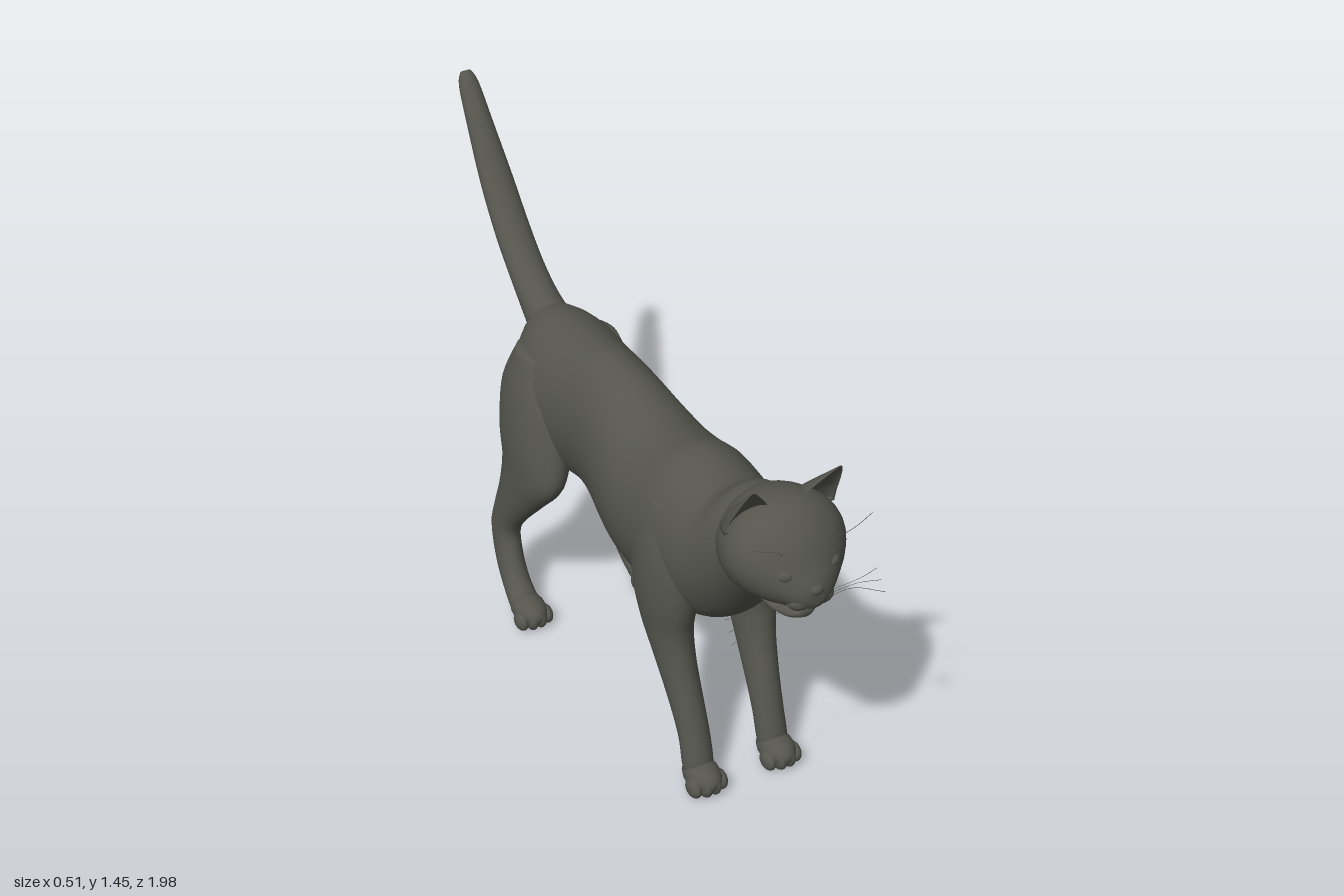
import * as THREE from 'three';

const fur = new THREE.MeshStandardMaterial({ color: 0x55554e });
fur.name = 'charcoal fur';

// Smooth loft through elliptical rings: [x, y, z, halfWidth, halfDepth, tiltDegrees].
// Tilt 0 faces forward, 90 faces down, -90 faces up. A dent below 1 hollows one side.
function loft(name, rows, { side = 1, seg = 28, steps = 4, dent = 1 } = {}) {
  const rings = [];
  for (let i = 0; i < rows.length - 1; i++) {
    const p = [rows[Math.max(i - 1, 0)], rows[i], rows[i + 1], rows[Math.min(i + 2, rows.length - 1)]];
    for (let k = 0; k < steps; k++) {
      const t = k / steps;
      rings.push(p[1].map((b, j) => {
        const a = p[0][j], c = p[2][j], d = p[3][j];
        return b + 0.5 * t * (c - a + t * (2 * a - 5 * b + 4 * c - d + t * (3 * (b - c) + d - a)));
      }));
    }
  }
  rings.push(rows[rows.length - 1]);
  const pos = [], index = [];
  for (const [x, y, z, rx, rv, tilt] of rings) {
    const t = THREE.MathUtils.degToRad(tilt);
    for (let i = 0; i < seg; i++) {
      const a = (i / seg) * Math.PI * 2;
      const v = rv * Math.sin(a) * (Math.sin(a) < 0 ? dent : 1);
      pos.push(side * x + rx * Math.cos(a), y + v * Math.cos(t), z + v * Math.sin(t));
    }
  }
  for (let r = 0; r < rings.length - 1; r++) {
    for (let i = 0; i < seg; i++) {
      const a = r * seg + i, b = r * seg + (i + 1) % seg;
      index.push(a, b, b + seg, a, b + seg, a + seg);
    }
  }
  // End caps
  const first = rings[0], last = rings[rings.length - 1];
  const c0 = pos.length / 3, c1 = c0 + 1, base = (rings.length - 1) * seg;
  pos.push(side * first[0], first[1], first[2], side * last[0], last[1], last[2]);
  for (let i = 0; i < seg; i++) {
    const j = (i + 1) % seg;
    index.push(c0, j, i, c1, base + i, base + j);
  }
  const g = new THREE.BufferGeometry();
  g.setAttribute('position', new THREE.Float32BufferAttribute(pos, 3));
  g.setIndex(index);
  g.computeVertexNormals();
  const mesh = new THREE.Mesh(g, fur);
  mesh.name = name;
  return mesh;
}

function ball(name, x, y, z, rx, ry, rz) {
  const mesh = new THREE.Mesh(new THREE.SphereGeometry(1, 18, 12), fur);
  mesh.name = name;
  mesh.position.set(x, y, z);
  mesh.scale.set(rx, ry, rz);
  return mesh;
}

// Forward-facing rings given as [z, top, bottom, halfWidth]
const profile = rows => rows.map(([z, top, bottom, w]) => [0, (top + bottom) / 2, z, w, (top - bottom) / 2, 0]);

// Paw with four toes; z is the front of the paw
function paw(name, x, z, length, side) {
  const g = new THREE.Group();
  g.name = name;
  g.add(ball('pad', side * x, 0.045, z - length / 2, 0.05, 0.043, length / 2));
  for (let i = 0; i < 4; i++) {
    const u = i - 1.5, outer = Math.abs(u) > 1;
    g.add(ball('toe', side * x + u * 0.027, outer ? 0.031 : 0.035, z - (outer ? 0.045 : 0.033), 0.019, outer ? 0.029 : 0.033, 0.033));
  }
  return g;
}

function whisker(points) {
  const curve = new THREE.CatmullRomCurve3(points.map(p => new THREE.Vector3(...p)));
  const mesh = new THREE.Mesh(new THREE.TubeGeometry(curve, 8, 0.0007, 4), fur);
  mesh.name = 'whisker';
  return mesh;
}

export function createModel() {
  const cat = new THREE.Group();
  cat.name = 'cat';

  // Torso and neck
  cat.add(loft('torso', profile([
    [-0.505, 0.86, 0.72, 0.04], [-0.48, 0.92, 0.63, 0.1], [-0.4, 0.945, 0.55, 0.15],
    [-0.3, 0.95, 0.51, 0.165], [-0.2, 0.955, 0.5, 0.155], [-0.1, 0.964, 0.51, 0.145],
    [0, 0.955, 0.49, 0.15], [0.1, 0.93, 0.462, 0.167], [0.2, 0.91, 0.446, 0.182],
    [0.3, 0.92, 0.44, 0.186], [0.39, 0.94, 0.447, 0.186], [0.5, 0.927, 0.475, 0.18],
    [0.57, 0.93, 0.505, 0.168], [0.63, 0.975, 0.555, 0.148], [0.69, 0.99, 0.625, 0.132],
    [0.75, 1, 0.695, 0.125], [0.82, 0.97, 0.76, 0.1],
  ]), { seg: 36 }));

  // Tail
  cat.add(loft('tail', [
    [0, 0.85, -0.4, 0.08, 0.07, -155], [0, 0.885, -0.5, 0.062, 0.062, -150],
    [0, 0.955, -0.6, 0.056, 0.046, -142], [0, 1.052, -0.7, 0.054, 0.04, -133],
    [0, 1.175, -0.8, 0.05, 0.036, -128], [0, 1.312, -0.9, 0.039, 0.033, -125],
    [0, 1.41, -0.968, 0.03, 0.025, -125], [0, 1.442, -0.988, 0.015, 0.013, -125],
  ]));

  // Head, muzzle and open lower jaw
  cat.add(loft('head', profile([
    [0.65, 0.96, 0.77, 0.08], [0.7, 1.01, 0.745, 0.135], [0.78, 1.035, 0.745, 0.165],
    [0.84, 1.028, 0.755, 0.16], [0.885, 0.998, 0.765, 0.134], [0.92, 0.955, 0.776, 0.1],
    [0.945, 0.905, 0.785, 0.07], [0.963, 0.872, 0.793, 0.042], [0.971, 0.852, 0.81, 0.018],
  ]), { seg: 36 }));
  cat.add(loft('lowerJaw', profile([
    [0.8, 0.8, 0.745, 0.085], [0.86, 0.775, 0.732, 0.068],
    [0.9, 0.765, 0.727, 0.045], [0.923, 0.76, 0.738, 0.02],
  ])));
  cat.add(ball('nose', 0, 0.85, 0.964, 0.021, 0.015, 0.013));

  for (const side of [1, -1]) {
    const tag = side > 0 ? 'left' : 'right';
    const opt = { side };

    // Ear, hollow at the front
    cat.add(loft(tag + 'Ear', [
      [0.1, 0.955, 0.785, 0.06, 0.07, -90], [0.1, 1.0, 0.8, 0.056, 0.058, -90],
      [0.108, 1.045, 0.822, 0.041, 0.036, -90], [0.119, 1.085, 0.842, 0.021, 0.016, -90],
      [0.125, 1.112, 0.856, 0.004, 0.003, -90],
    ], { side, dent: -0.45 }));

    // Eye, cheek and fang
    const eye = ball(tag + 'Eye', side * 0.07, 0.889, 0.921, 0.026, 0.019, 0.018);
    eye.rotation.set(0, side * 0.55, side * 0.15);
    cat.add(eye);
    cat.add(ball(tag + 'Muzzle', side * 0.03, 0.81, 0.938, 0.036, 0.025, 0.026));
    const fang = new THREE.Mesh(new THREE.ConeGeometry(0.005, 0.022, 8), fur);
    fang.name = tag + 'Fang';
    fang.rotation.x = Math.PI;
    fang.position.set(side * 0.026, 0.781, 0.925);
    cat.add(fang);

    // Whiskers beside the muzzle and above the eye
    for (let i = 0; i < 3; i++) {
      const y = 0.815 - i * 0.01;
      cat.add(whisker([[side * 0.04, y, 0.945], [side * 0.13, y + 0.01 - i * 0.01, 0.95 - i * 0.01], [side * 0.225, 0.795 - i * 0.025, 0.9 + i * 0.02]]));
    }
    cat.add(whisker([[side * 0.07, 0.94, 0.91], [side * 0.11, 0.99, 0.95], [side * 0.17, 1.01, 0.94]]));

    // Front leg
    cat.add(loft(tag + 'FrontLeg', [
      [0.11, 0.83, 0.42, 0.045, 0.08, 90], [0.122, 0.7, 0.43, 0.072, 0.14, 90],
      [0.13, 0.56, 0.44, 0.072, 0.125, 90], [0.13, 0.46, 0.45, 0.062, 0.098, 90],
      [0.125, 0.36, 0.486, 0.053, 0.075, 90], [0.12, 0.25, 0.538, 0.047, 0.056, 90],
      [0.117, 0.15, 0.583, 0.044, 0.043, 90], [0.118, 0.07, 0.607, 0.044, 0.04, 90],
      [0.118, 0.025, 0.61, 0.036, 0.034, 90],
    ], opt));
    cat.add(paw(tag + 'FrontPaw', 0.118, 0.702, 0.14, side));

    // Hind leg: thigh, hock and lower leg curving forward to the paw
    cat.add(loft(tag + 'HindLeg', [
      [0.1, 0.86, -0.36, 0.05, 0.08, 90], [0.112, 0.74, -0.345, 0.078, 0.15, 90],
      [0.128, 0.61, -0.325, 0.083, 0.163, 90], [0.145, 0.5, -0.308, 0.068, 0.15, 90],
      [0.16, 0.4, -0.35, 0.055, 0.108, 90], [0.173, 0.31, -0.4, 0.045, 0.076, 90],
      [0.182, 0.235, -0.427, 0.039, 0.06, 85], [0.188, 0.15, -0.398, 0.039, 0.054, 62],
      [0.193, 0.085, -0.345, 0.041, 0.044, 45], [0.197, 0.048, -0.285, 0.045, 0.038, 15],
      [0.198, 0.045, -0.24, 0.045, 0.035, 0],
    ], opt));
    cat.add(paw(tag + 'HindPaw', 0.198, -0.18, 0.15, side));
  }
  return cat;
}
